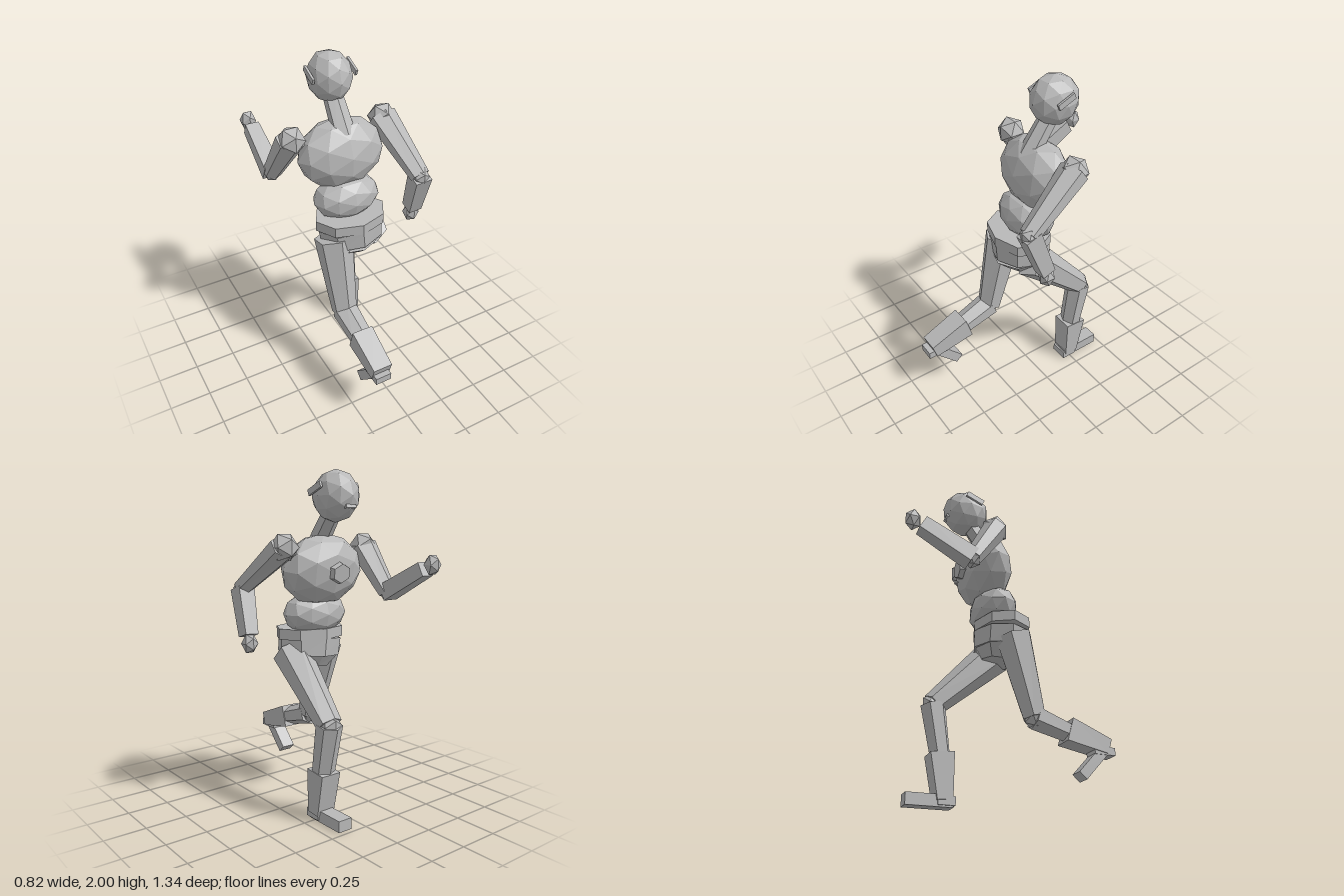
import * as THREE from 'three';

const grey = new THREE.MeshStandardMaterial({ color: 0xb8b8b8, flatShading: true });
grey.name = 'plain grey';

export function createModel() {
  const root = new THREE.Group();
  root.name = 'runner';

  const add = (name, geometry, parent = root) => {
    const mesh = new THREE.Mesh(geometry, grey);
    mesh.name = name;
    parent.add(mesh);
    return mesh;
  };

  // Faceted ball with separate radii
  const ball = (name, center, radii, detail = 1, parent = root) => {
    const mesh = add(name, new THREE.IcosahedronGeometry(1, detail), parent);
    mesh.position.set(...center);
    mesh.scale.set(...radii);
    return mesh;
  };

  // Tapered prism between two points; each end has [half width, half depth]
  const limb = (name, from, to, endA, endB, sides = 6, parent = root) => {
    const a = new THREE.Vector3(...from), b = new THREE.Vector3(...to);
    const dir = b.clone().sub(a), length = dir.length();
    dir.normalize();
    const start = sides === 4 ? Math.PI / 4 : 0;
    const geometry = new THREE.CylinderGeometry(1, 1, length, sides, 1, false, start);
    const p = geometry.attributes.position;
    const fitX = sides === 4 ? Math.SQRT2 : sides === 6 ? 1.155 : 1;
    const fitZ = sides === 4 ? Math.SQRT2 : 1;
    for (let i = 0; i < p.count; i++) {
      const [w, d] = p.getY(i) > 0 ? endB : endA;
      p.setX(i, p.getX(i) * w * fitX);
      p.setZ(i, p.getZ(i) * d * fitZ);
    }
    geometry.computeVertexNormals();
    const side = new THREE.Vector3(1, 0, 0).addScaledVector(dir, -dir.x).normalize();
    const depth = side.clone().cross(dir);
    const mesh = add(name, geometry, parent);
    mesh.quaternion.setFromRotationMatrix(new THREE.Matrix4().makeBasis(side, dir, depth));
    mesh.position.copy(a).add(b).multiplyScalar(0.5);
    return mesh;
  };

  const box = (name, size, center, tilt = 0, parent = root) => {
    const mesh = add(name, new THREE.BoxGeometry(...size), parent);
    mesh.position.set(...center);
    mesh.rotation.x = tilt;
    return mesh;
  };

  // Head, leaning forward over the neck
  ball('head', [-0.01, 1.855, -0.2], [0.128, 0.147, 0.147]);
  limb('neck', [-0.01, 1.56, -0.02], [-0.01, 1.78, -0.18], [0.06, 0.055], [0.05, 0.05]);
  for (const s of [-1, 1]) box('ear', [0.014, 0.035, 0.115], [-0.01 + s * 0.132, 1.893, -0.18], 0.4);
  box('mouth', [0.07, 0.018, 0.02], [-0.01, 1.795, -0.325], 0.35);

  // Trunk
  ball('chest', [-0.01, 1.44, -0.075], [0.272, 0.212, 0.158]).rotation.x = -0.15;
  limb('medallion', [-0.02, 1.43, -0.21], [-0.02, 1.425, -0.25], [0.065, 0.065], [0.055, 0.055]);
  ball('abdomen', [-0.01, 1.18, -0.01], [0.21, 0.135, 0.138]);
  limb('belt', [-0.012, 1.032, 0.042], [-0.012, 1.095, 0.042], [0.225, 0.168], [0.225, 0.168], 8);
  limb('pelvis', [0, 0.93, 0.04], [-0.01, 1.035, 0.04], [0.2, 0.165], [0.21, 0.165], 8);
  limb('pelvisBase', [0.01, 0.855, 0.03], [0, 0.93, 0.04], [0.13, 0.1], [0.2, 0.165], 8);

  // Arms bent at the elbow, one swung ahead and one behind
  const arm = (name, shoulder, elbow, wrist, hand) => {
    const g = new THREE.Group();
    g.name = name;
    root.add(g);
    ball('shoulder', shoulder, [0.085, 0.085, 0.085], 0, g);
    limb('upperArm', shoulder, elbow, [0.08, 0.075], [0.052, 0.05], 6, g);
    ball('elbow', elbow, [0.055, 0.055, 0.055], 0, g);
    limb('forearm', elbow, wrist, [0.052, 0.05], [0.042, 0.042], 4, g);
    ball('hand', hand, [0.05, 0.064, 0.05], 0, g);
  };
  arm('leftArm', [0.285, 1.575, -0.115], [0.345, 1.33, 0.225], [0.368, 1.06, 0.13], [0.368, 1.015, 0.12]);
  arm('rightArm', [-0.3, 1.57, -0.11], [-0.36, 1.3, -0.27], [-0.355, 1.455, -0.57], [-0.355, 1.48, -0.62]);

  // Legs: thigh, knee, shin and a thicker lower calf
  const leg = (name, hip, knee, calf, ankle) => {
    const g = new THREE.Group();
    g.name = name;
    root.add(g);
    limb('thigh', hip, knee, [0.1, 0.115], [0.068, 0.07], 6, g);
    ball('knee', knee, [0.07, 0.07, 0.07], 0, g);
    limb('shin', knee, calf, [0.07, 0.075], [0.062, 0.06], 6, g);
    limb('calf', calf, ankle, [0.066, 0.07], [0.06, 0.045], 4, g);
    return g;
  };
  const left = leg('leftLeg', [0.12, 0.95, 0.05], [0.13, 0.585, -0.325], [0.13, 0.3, -0.275], [0.13, 0.04, -0.25]);
  box('heel', [0.11, 0.05, 0.1], [0.13, 0.035, -0.24], 0, left);
  box('foot', [0.09, 0.068, 0.27], [0.13, 0.034, -0.335], 0, left);

  const right = leg('rightLeg', [-0.14, 0.97, 0.07], [-0.135, 0.49, 0.195], [-0.13, 0.43, 0.39], [-0.13, 0.355, 0.64]);
  box('heel', [0.1, 0.045, 0.13], [-0.135, 0.327, 0.608], 0, right);
  limb('foot', [-0.137, 0.335, 0.61], [-0.137, 0.175, 0.462], [0.044, 0.03], [0.044, 0.03], 4, right);

  return root;
}
